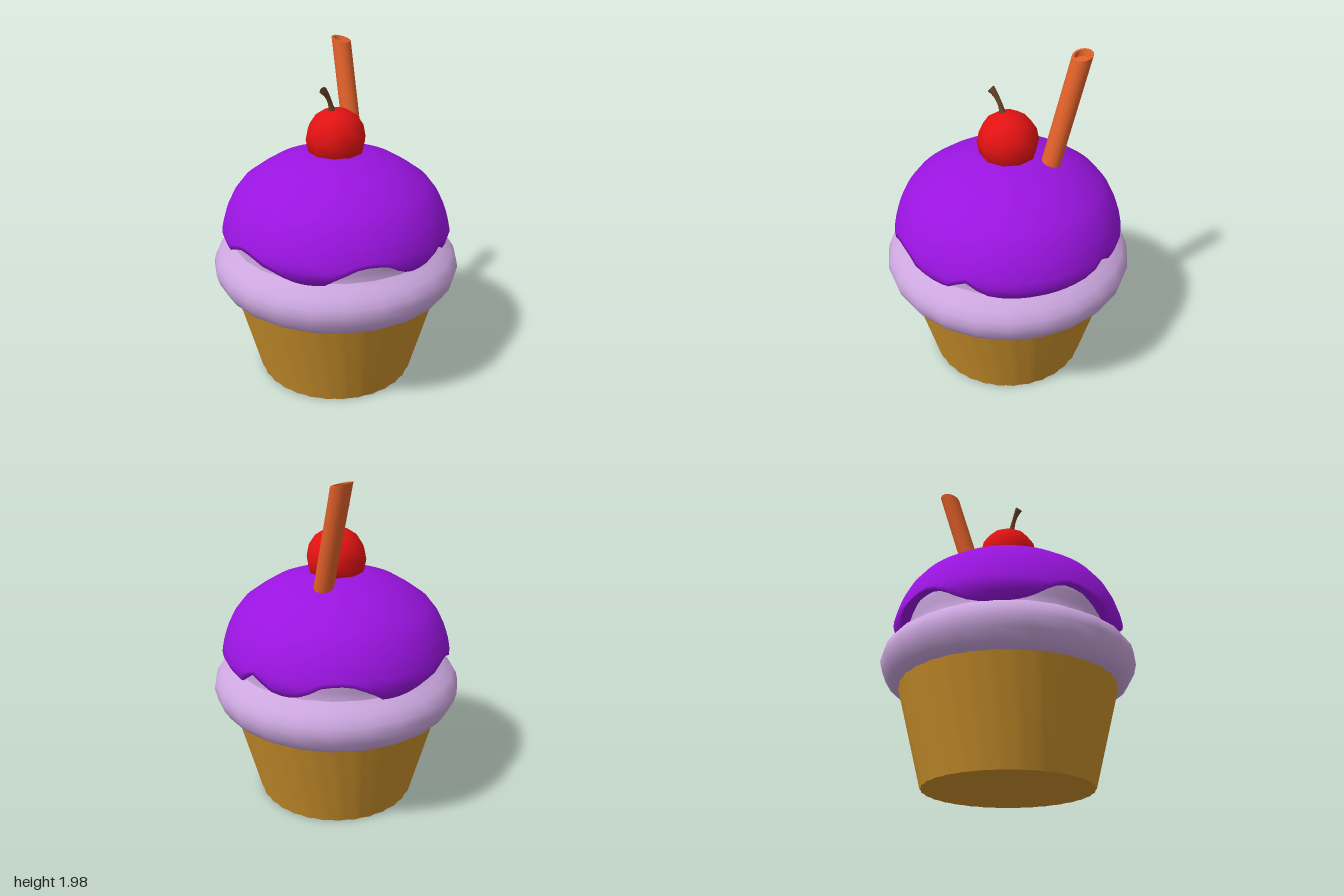
import * as THREE from 'three';
import { mergeVertices, toCreasedNormals } from 'three/addons/utils/BufferGeometryUtils.js';

const V2 = (p) => new THREE.Vector2(p[0], p[1]);
const lathe = (pts, segments) => new THREE.LatheGeometry(pts.map(V2), segments);

function part(name, geometry, color, side = THREE.FrontSide) {
  const mesh = new THREE.Mesh(geometry, new THREE.MeshStandardMaterial({ color, side }));
  mesh.name = name;
  return mesh;
}

// Smooth normals without a seam
function smooth(geometry) {
  geometry.deleteAttribute('uv');
  geometry.deleteAttribute('normal');
  const merged = mergeVertices(geometry, 1e-4);
  merged.computeVertexNormals();
  return merged;
}

// Linear lookup in a list of [key, value] pairs
function lookup(table, key) {
  let i = 1;
  while (i < table.length - 1 && table[i][0] < key) i++;
  const [k0, v0] = table[i - 1], [k1, v1] = table[i];
  return THREE.MathUtils.lerp(v0, v1, THREE.MathUtils.clamp((key - k0) / (k1 - k0), 0, 1));
}

// Tapered paper cup with shallow pleats
function makeCup() {
  const geometry = lathe([[0, 0], [0.48, 0], [0.63, 0.57], [0.55, 0.58]], 64);
  const pos = geometry.attributes.position;
  for (let i = 0; i < pos.count; i++) {
    const pleat = Math.floor(i / 4) % 2 ? 0.985 : 1;
    pos.setX(i, pos.getX(i) * pleat);
    pos.setZ(i, pos.getZ(i) * pleat);
  }
  return toCreasedNormals(geometry, 0.7);
}

// Icing edge height by angle from the front, mirrored about the 45 degree diagonal
const halfEdge = [
  [0, 0.84], [16, 0.845], [24, 0.87], [31, 0.94], [36, 0.965], [42, 0.92], [46, 0.875],
  [54, 0.87], [61, 0.895], [70, 0.955], [78, 0.97], [87, 0.955], [95, 0.9], [99, 0.855],
  [107, 0.84], [115, 0.855], [125, 0.91], [138, 0.96], [146, 0.965], [152, 0.94],
  [163, 0.87], [172, 0.845], [180, 0.84],
];
// Icing radius by height
const icingRadius = [[0.83, 0.615], [0.88, 0.655], [0.93, 0.68], [1.0, 0.665], [1.07, 0.64]];

// Domed icing whose lower rows follow the dripping edge
function makeIcing() {
  const upper = [[0.64, 1.07], [0.605, 1.14], [0.55, 1.21], [0.46, 1.275], [0.37, 1.33],
    [0.26, 1.37], [0.15, 1.395], [0, 1.4]];
  const lowerRows = 6;
  const rows = [...Array(lowerRows).fill([0.65, 1]), ...upper];
  const segments = 72;
  const geometry = lathe(rows, segments);
  const pos = geometry.attributes.position;
  for (let s = 0; s <= segments; s++) {
    const phi = (s / segments) * Math.PI * 2;
    let angle = Math.abs((s / segments) * 360 - 45);
    if (angle > 180) angle = 360 - angle;
    const edge = lookup(halfEdge, angle);
    for (let j = 0; j < lowerRows; j++) {
      const t = Math.max(0, j - 1) / (lowerRows - 1);
      const y = j === 0 ? edge + 0.02 : THREE.MathUtils.lerp(edge, 1.07, t);
      const r = j === 0 ? 0.585 : lookup(icingRadius, y);
      pos.setXYZ(s * rows.length + j, r * Math.sin(phi), y, r * Math.cos(phi));
    }
  }
  return smooth(geometry);
}

// Hollow-ended stick leaning back, cut aslant at its top
function makeStick() {
  const base = new THREE.Vector3(0.226, 1.26, -0.038);
  const tip = new THREE.Vector3(0.325, 1.965, -0.235);
  const axis = tip.clone().sub(base);
  const length = axis.length();
  const geometry = lathe([[0, 0], [0.056, 0], [0.056, length], [0.044, length], [0.044, length - 0.035],
    [0, length - 0.035]], 16);
  const pos = geometry.attributes.position;
  const tilt = new THREE.Quaternion().setFromUnitVectors(new THREE.Vector3(0, 1, 0), axis.normalize());
  for (let i = 0; i < pos.count; i++) {
    if (pos.getY(i) > length / 2) pos.setY(i, pos.getY(i) - 0.55 * pos.getZ(i) + 0.1 * pos.getX(i));
  }
  geometry.applyQuaternion(tilt).translate(base.x, base.y, base.z);
  return toCreasedNormals(geometry, 0.7);
}

// Bent stem, widened at both ends
function makeStem() {
  const curve = new THREE.QuadraticBezierCurve3(
    new THREE.Vector3(-0.03, 1.62, 0), new THREE.Vector3(-0.05, 1.72, 0), new THREE.Vector3(-0.108, 1.768, 0));
  const rings = 8, sides = 8;
  const geometry = new THREE.TubeGeometry(curve, rings, 1, sides);
  const pos = geometry.attributes.position;
  for (let i = 0; i < pos.count; i++) {
    const t = Math.floor(i / (sides + 1)) / rings;
    const centre = curve.getPointAt(t);
    const point = new THREE.Vector3().fromBufferAttribute(pos, i).sub(centre);
    point.multiplyScalar(0.013 + 0.04 * (t - 0.5) ** 2).add(centre);
    pos.setXYZ(i, point.x, point.y, point.z);
  }
  return smooth(geometry);
}

export function createModel() {
  const model = new THREE.Group();
  model.name = 'cupcake';

  model.add(part('paperCup', makeCup(), 0xc98f2b));

  // Pale frosting roll with a core rising under the icing
  const frosting = lathe([[0.5, 0.57], [0.655, 0.57], [0.69, 0.595], [0.725, 0.65], [0.74, 0.71], [0.73, 0.755],
    [0.7, 0.8], [0.65, 0.83], [0.615, 0.855], [0.61, 0.9], [0.625, 0.95], [0.62, 1.0], [0.55, 1.1],
    [0.3, 1.25], [0, 1.3]], 24);
  model.add(part('frosting', toCreasedNormals(frosting, 0.75), 0xcba6de));

  model.add(part('icing', makeIcing(), 0x9a14e0, THREE.DoubleSide));

  // Cherry
  const cherry = new THREE.SphereGeometry(0.177, 10, 8);
  cherry.translate(0, 1.473, 0);
  model.add(part('cherry', cherry, 0xe31212));
  model.add(part('cherryStem', makeStem(), 0x6e4524, THREE.DoubleSide));

  model.add(part('cinnamonStick', makeStick(), 0xe0602a));
  return model;
}
